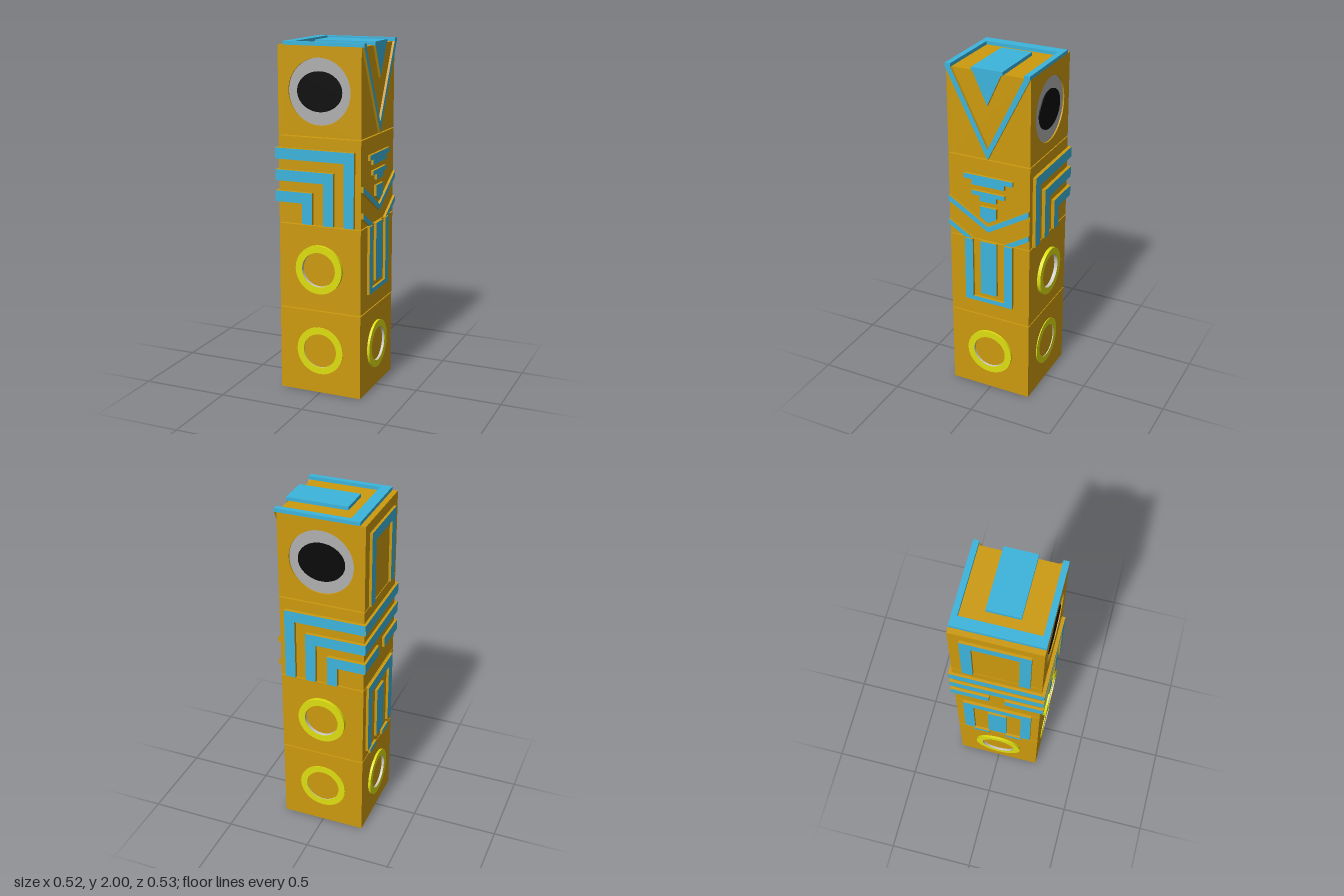
import * as THREE from 'three';

const mat = (color) => new THREE.MeshStandardMaterial({ color });
const gold = mat(0xcc9a0e), blue = mat(0x3cb4dc), yellow = mat(0xdede10);
const grey = mat(0xb0b0b0), black = mat(0x0a0a0a), red = mat(0xc83c1e);

const FACE = 0.246; // distance from the axis to each block face

// Flat plate cut from an outline, standing on a block face
function plate(name, pts, depth = 0.015, side = gold, z = FACE) {
  const shape = new THREE.Shape(pts.map(([x, y]) => new THREE.Vector2(x, y)));
  const geo = new THREE.ExtrudeGeometry(shape, { depth, bevelEnabled: false });
  const mesh = new THREE.Mesh(geo, [blue, side]);
  mesh.position.z = z;
  mesh.name = name;
  return mesh;
}

const rect = (x0, x1, y0, y1) => [[x0, y0], [x1, y0], [x1, y1], [x0, y1]];
// Outline symmetric about x = 0, given its right half
const mirrored = (half) => [...half, ...half.map(([x, y]) => [-x, y]).reverse()];

function circle(r, cy, r2 = r) {
  return new THREE.Shape().absellipse(0, cy, r, r2, 0, Math.PI * 2);
}

// Flat ring with a pale inner wall
function ring(cy, depth) {
  const g = new THREE.Group();
  g.name = 'ring';
  const shape = circle(0.14, cy);
  shape.holes.push(circle(0.1, cy));
  const body = new THREE.Mesh(
    new THREE.ExtrudeGeometry(shape, { depth, bevelEnabled: false, curveSegments: 40 }), yellow);
  body.position.z = FACE;
  const wall = new THREE.Mesh(
    new THREE.CylinderGeometry(0.0985, 0.0985, depth, 40, 1, true).rotateX(Math.PI / 2),
    new THREE.MeshStandardMaterial({ color: 0xcccccc, side: THREE.BackSide }));
  wall.position.set(0, cy, FACE + depth / 2);
  g.add(body, wall);
  return g;
}

// Recessed eye: panel with round opening, pale dish and dark oval pupil
function eye() {
  const g = new THREE.Group();
  g.name = 'eye';
  const depth = 0.02, cy = 1.735;
  const panelShape = new THREE.Shape(rect(-FACE, FACE, 1.49, 1.98).map(([x, y]) => new THREE.Vector2(x, y)));
  panelShape.holes.push(circle(0.183, cy));
  const panel = new THREE.Mesh(
    new THREE.ExtrudeGeometry(panelShape, { depth, bevelEnabled: false, curveSegments: 40 }), gold);
  panel.position.z = FACE - depth;
  const dish = new THREE.Mesh(new THREE.CylinderGeometry(0.183, 0.183, 0.012, 48).rotateX(Math.PI / 2), grey);
  dish.position.set(0, cy, FACE - depth + 0.006);
  const pupil = new THREE.Mesh(
    new THREE.ExtrudeGeometry(circle(0.132, cy, 0.11), { depth: 0.018, bevelEnabled: false, curveSegments: 40 }), black);
  pupil.position.z = FACE - depth;
  g.add(panel, dish, pupil);
  return g;
}

export function createModel() {
  const model = new THREE.Group();
  model.name = 'totem';
  const addFace = (name, angle, parts) => {
    const g = new THREE.Group();
    g.name = name;
    g.rotation.y = angle;
    g.add(...parts);
    model.add(g);
  };

  // Four stacked blocks with short pins between them
  for (let i = 0; i < 4; i++) {
    const y0 = i * 0.4967;
    const depth = i === 3 ? 2 * FACE - 0.04 : 2 * FACE;
    const block = new THREE.Mesh(new THREE.BoxGeometry(2 * FACE, 0.49, depth), gold);
    block.position.y = y0 + 0.245;
    block.name = 'block';
    model.add(block);
    if (i > 0) {
      const pin = new THREE.Mesh(new THREE.CylinderGeometry(0.05, 0.05, 0.03, 24), red);
      pin.position.y = y0 - 0.003;
      pin.name = 'pin';
      model.add(pin);
    }
  }

  // Front and back: eye, bent wing stripes, rings
  const bends = [[0.212, 1.418], [0.09, 1.296], [-0.037, 1.176]];
  for (const s of [1, -1]) {
    const stripes = bends.map(([x, y]) => plate('wingStripe', [
      [-0.26, y], [x, y], [x, 0.997], [x - 0.06, 0.997], [x - 0.06, y - 0.062], [-0.26, y - 0.062],
    ].map(([px, py]) => [px * s, py]), 0.02));
    addFace(s > 0 ? 'frontFace' : 'backFace', s > 0 ? 0 : Math.PI,
      [eye(), ...stripes, ring(0.74, 0.02), ring(0.255, 0.005)]);
  }

  // Beak side (+x): beak, stepped chest marks, chevrons, tail
  addFace('beakSide', Math.PI / 2, [
    plate('beakEdge', [[-0.246, 1.98], [0, 1.492], [0.246, 1.98], [0.212, 1.98], [0, 1.553], [-0.212, 1.98]], 0.014),
    plate('beakTip', [[-0.09, 1.995], [0, 1.8], [0.09, 1.995]], 0.014),
    plate('chestMark', mirrored([[0.148, 1.39], [0.148, 1.36], [0.1, 1.36], [0.1, 1.33]])),
    plate('chestMark', mirrored([[0.1, 1.296], [0.1, 1.27], [0.05, 1.27], [0.05, 1.238]])),
    plate('chestPoint', [[-0.05, 1.206], [-0.05, 1.143], [0, 1.112], [0.05, 1.143], [0.05, 1.206]]),
    plate('chevron', [[-0.246, 1.235], [-0.246, 1.2], [0, 1.053], [0.246, 1.2], [0.246, 1.235], [0, 1.087]]),
    ...[1, -1].map((s) => plate('lowerChevron',
      [[0.246 * s, 1.087], [0.246 * s, 1.053], [0.148 * s, 0.995], [0.095 * s, 0.995]])),
    plate('tailFrame', mirrored([[0.098, 0.988], [0.148, 0.988], [0.148, 0.593], [-0.148, 0.593]].slice(0, 3)
      .reverse().concat([[0.098, 0.62]]))),
    plate('tailBar', rect(-0.05, 0.05, 0.65, 0.988)),
    ring(0.255, 0.014),
  ]);

  // Opposite side (-x): head frame, wrapping stripes, tail frame and feet
  const arch = (w, t, y0, y1) =>
    mirrored([[w, y1], [w, y0], [w - t, y0], [w - t, y1 - t]]);
  addFace('rearSide', -Math.PI / 2, [
    plate('headFrame', arch(0.185, 0.06, 1.492, 1.92)),
    ...[1.418, 1.296].map((y) => plate('wrapStripe', rect(-0.264, 0.264, y - 0.062, y))),
    plate('wrapStripe', rect(-0.264, -0.045, 1.114, 1.176)),
    plate('wrapStripe', rect(0.045, 0.264, 1.114, 1.176)),
    plate('legFrame', arch(0.2, 0.06, 0.55, 0.985)),
    plate('legBar', rect(-0.055, 0.055, 0.56, 0.88)),
    plate('foot', rect(-0.15, -0.05, 0.5, 0.53)),
    plate('foot', rect(0.05, 0.15, 0.5, 0.53)),
    ring(0.255, 0.014),
  ]);

  // Crown: frame open towards the beak, and the centre bar
  const crown = new THREE.Group();
  crown.name = 'crown';
  crown.rotation.x = -Math.PI / 2;
  crown.add(
    plate('crownFrame', [[0.261, 0.246], [-0.215, 0.246], [-0.215, -0.246], [0.261, -0.246],
      [0.261, -0.214], [-0.155, -0.214], [-0.155, 0.214], [0.261, 0.214]], 0.021, blue, 1.979),
    plate('crownBar', rect(-0.092, 0.261, -0.091, 0.091), 0.021, blue, 1.979));
  model.add(crown);
  return model;
}
